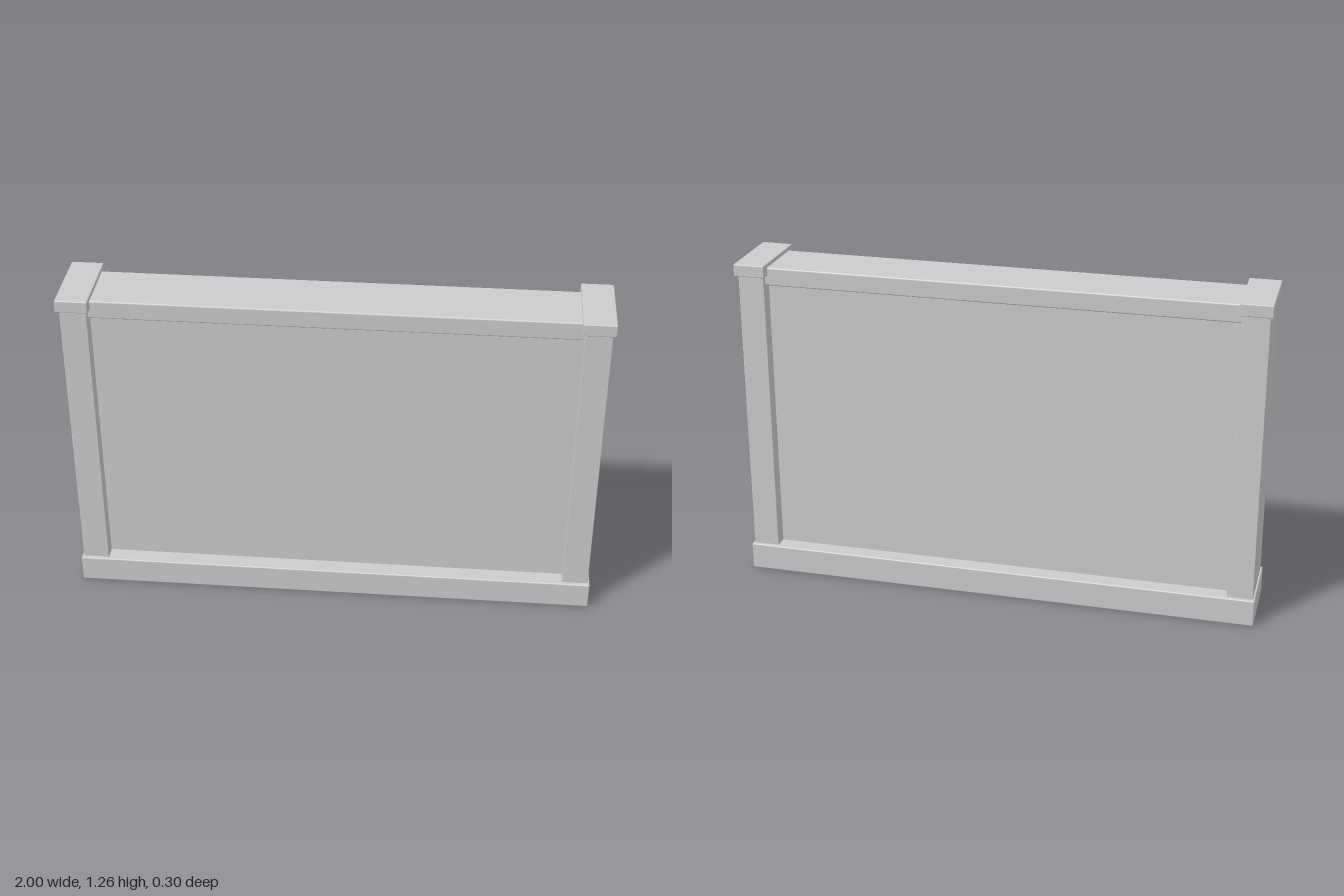
import * as THREE from 'three';
import { RoundedBoxGeometry } from 'three/addons/geometries/RoundedBoxGeometry.js';

export function createModel() {
  const group = new THREE.Group();
  const material = new THREE.MeshStandardMaterial({ color: 0xcccccc });

  // Block spanning y0..y1, centred on x and z, with slightly eased edges
  function block(name, x, y0, y1, width, depth, radius = 0.005) {
    const height = y1 - y0;
    const geometry = radius
      ? new RoundedBoxGeometry(width, height, depth, 2, radius)
      : new THREE.BoxGeometry(width, height, depth);
    const mesh = new THREE.Mesh(geometry, material);
    mesh.name = name;
    mesh.position.set(x, (y0 + y1) / 2, 0);
    group.add(mesh);
  }

  // Plinth, recessed wall panel and the rail along its top
  block('base', 0, 0, 0.105, 1.995, 0.295);
  block('panel', 0, 0.1, 1.2, 1.8, 0.165, 0);
  block('topRail', 0, 1.18, 1.25, 1.79, 0.232, 0.006);

  // End posts with overhanging caps
  for (const [side, s] of [['left', 1], ['right', -1]]) {
    block(side + 'Post', s * 0.94, 0.1, 1.225, 0.1, 0.265, 0.003);
    block(side + 'Cap', s * 0.94, 1.218, 1.265, 0.12, 0.303, 0.004);
  }

  return group;
}
